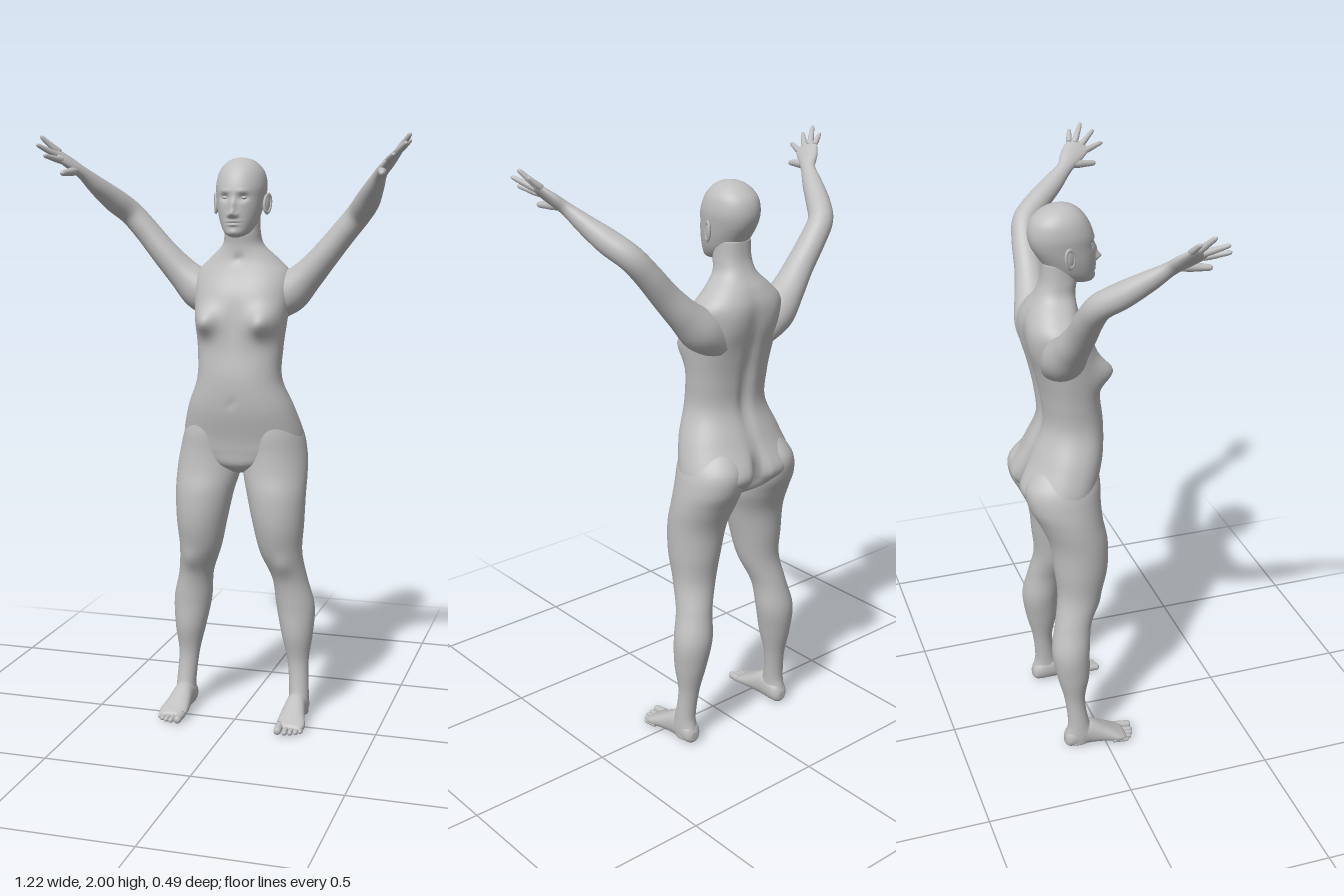
import * as THREE from 'three';

const skin = new THREE.MeshStandardMaterial({ color: 0xbfbfbf });
skin.name = 'plain grey';

const Y = new THREE.Vector3(0, 1, 0), Z = new THREE.Vector3(0, 0, 1);

// Smooth interpolation through rows of numbers
function sampleRows(rows, t) {
  const f = t * (rows.length - 1), i = Math.min(Math.floor(f), rows.length - 2), k = f - i;
  const at = (n) => rows[Math.max(0, Math.min(rows.length - 1, n))];
  const [a, b, c, d] = [at(i - 1), at(i), at(i + 1), at(i + 2)];
  return b.map((_, n) => b[n] + 0.5 * k * (c[n] - a[n]
    + k * (2 * a[n] - 5 * b[n] + 4 * c[n] - d[n] + k * (3 * (b[n] - c[n]) + d[n] - a[n]))));
}

// Skin over cross-sections [x, y, z, halfWidth, halfDepth]; axis fixes the section plane,
// ref is the depth direction, power < 1 squares the section, bumps model the relief
function loft(rows, { axis, ref = Z, steps = 40, seg = 40, power = 1, bumps = [] } = {}) {
  const pos = [], idx = [], V3 = (r) => new THREE.Vector3(r[0], r[1], r[2]);
  const pw = (v) => Math.sign(v) * Math.abs(v) ** power;
  for (let i = 0; i <= steps; i++) {
    const t = i / steps, r = sampleRows(rows, t), c = V3(r);
    const tan = axis || V3(sampleRows(rows, Math.min(1, t + 0.01)))
      .sub(V3(sampleRows(rows, Math.max(0, t - 0.01)))).normalize();
    const u = tan.clone().cross(ref).normalize(), v = u.clone().cross(tan);
    for (let j = 0; j < seg; j++) {
      const a = (j / seg) * Math.PI * 2, s = Math.sin(a);
      const p = c.clone().addScaledVector(u, r[3] * pw(Math.cos(a))).addScaledVector(v, r[4] * pw(s));
      const { x, y } = p;
      for (const [bx, by, sx, sy, side, push] of bumps) {
        const facing = Math.min(1, Math.max(0, s * side * 2));
        p.z += push * facing * Math.exp(-(((x - bx) / sx) ** 2) - ((y - by) / sy) ** 2);
      }
      pos.push(p.x, p.y, p.z);
    }
  }
  const end = (steps + 1) * seg;
  pos.push(...rows[0].slice(0, 3), ...rows[rows.length - 1].slice(0, 3));
  for (let j = 0; j < seg; j++) {
    const n = (j + 1) % seg;
    for (let i = 0; i < steps; i++) {
      const a = i * seg + j, b = i * seg + n;
      idx.push(a, a + seg, b, b, a + seg, b + seg);
    }
    idx.push(end, j, n, end + 1, steps * seg + n, steps * seg + j);
  }
  const g = new THREE.BufferGeometry();
  g.setAttribute('position', new THREE.Float32BufferAttribute(pos, 3));
  g.setIndex(idx);
  g.computeVertexNormals();
  return g;
}

// Upright section rows: [x, y, halfWidth, zFront, zBack]
const upright = (rows) => rows.map(([x, y, w, f, b]) => [x, y, (f + b) / 2, w, (f - b) / 2]);
const both = (x, ...rest) => [[x, ...rest], [-x, ...rest]];

// Rounded tapering finger or toe
function digit(a, b, r0, r1, ref = Z) {
  const stops = [[0, r0], [0.3, r0], [0.6, r0 * 0.45 + r1 * 0.55], [0.85, r1], [0.96, r1 * 0.7], [1, r1 * 0.1]];
  const rows = stops.map(([t, r]) => [...a.map((v, n) => v + (b[n] - v) * t), r, r]);
  return loft(rows, { ref, steps: 15, seg: 12 });
}

function ellipsoid(x, y, z, rx, ry, rz) {
  return new THREE.SphereGeometry(1, 24, 16).scale(rx, ry, rz).translate(x, y, z);
}

function mirrored(geo) {
  const g = geo.clone().scale(-1, 1, 1), ix = g.index;
  for (let i = 0; i < ix.count; i += 3) {
    const a = ix.getX(i);
    ix.setX(i, ix.getX(i + 1));
    ix.setX(i + 1, a);
  }
  g.computeVertexNormals();
  return g;
}

export function createModel() {
  const model = new THREE.Group();
  model.name = 'standingFigure';
  const add = (name, geo) => {
    const m = new THREE.Mesh(geo, skin);
    m.name = name;
    model.add(m);
  };
  const addPair = (name, geo) => {
    add(name + 'Left', geo);
    add(name + 'Right', mirrored(geo));
  };

  // Torso and neck
  add('torso', loft(upright([
    [0, 0.875, 0.03, -0.04, -0.12], [0, 0.905, 0.11, 0.0, -0.17], [0, 0.95, 0.195, 0.01, -0.22],
    [0, 1.0, 0.209, 0.018, -0.243], [0, 1.1, 0.183, 0.04, -0.2], [0, 1.2, 0.145, 0.045, -0.162],
    [0, 1.3, 0.146, 0.033, -0.168], [0, 1.4, 0.157, 0.028, -0.188], [0, 1.48, 0.165, 0.012, -0.205],
    [0, 1.55, 0.16, -0.02, -0.21], [0, 1.6, 0.115, -0.037, -0.195], [0, 1.645, 0.07, -0.04, -0.168],
    [0, 1.69, 0.06, -0.035, -0.15], [0, 1.75, 0.058, -0.04, -0.145],
  ]), {
    axis: Y, steps: 90, seg: 80, power: 0.88,
    bumps: [
      ...both(0.1, 1.395, 0.042, 0.045, 1, 0.05),
      ...both(0.085, 1.5, 0.05, 0.07, -1, -0.008),
      ...both(0.1, 0.99, 0.06, 0.06, -1, -0.01),
      [0, 1.3, 0.022, 0.2, -1, 0.016], [0, 0.97, 0.02, 0.07, -1, 0.06],
      [0, 1.125, 0.009, 0.01, 1, -0.008], [0, 1.4, 0.02, 0.08, 1, -0.006],
      [0, 1.6, 0.014, 0.015, 1, -0.008],
    ],
  }));

  // Head with brow, sockets, nose, lips and chin
  add('head', loft(upright([
    [0, 1.673, 0.012, 0.01, -0.02], [0, 1.685, 0.038, 0.024, -0.07], [0, 1.715, 0.058, 0.026, -0.12],
    [0, 1.755, 0.071, 0.026, -0.15], [0, 1.8, 0.079, 0.024, -0.178], [0, 1.84, 0.083, 0.019, -0.187],
    [0, 1.88, 0.076, 0.002, -0.178], [0, 1.908, 0.058, -0.02, -0.152], [0, 1.925, 0.034, -0.046, -0.12],
    [0, 1.932, 0.002, -0.078, -0.082],
  ]), {
    axis: Y, steps: 110, seg: 110, power: 0.95,
    bumps: [
      [0, 1.75, 0.01, 0.013, 1, 0.022], [0, 1.775, 0.009, 0.022, 1, 0.011],
      ...both(0.013, 1.746, 0.007, 0.008, 1, 0.007),
      ...both(0.031, 1.802, 0.016, 0.012, 1, -0.011), ...both(0.03, 1.823, 0.02, 0.008, 1, 0.003),
      [0, 1.726, 0.02, 0.005, 1, 0.006], [0, 1.715, 0.018, 0.005, 1, 0.006],
      [0, 1.7205, 0.024, 0.002, 1, -0.004], [0, 1.69, 0.016, 0.01, 1, 0.004],
    ],
  }));
  addPair('eye', ellipsoid(0.031, 1.802, 0.0, 0.012, 0.007, 0.012));
  addPair('ear', ellipsoid(0, 0, 0, 0.007, 0.032, 0.018).rotateX(-0.15).rotateY(-0.4).translate(0.086, 1.782, -0.078));
  addPair('earRim', new THREE.TorusGeometry(0.017, 0.0045, 8, 24).scale(1, 1.7, 1)
    .rotateY(Math.PI / 2).rotateX(-0.15).rotateY(-0.4).translate(0.09, 1.782, -0.079));

  // Arm down to the palm
  addPair('arm', loft([
    [0.09, 1.43, -0.12, 0.05, 0.06], [0.155, 1.485, -0.122, 0.068, 0.07], [0.22, 1.546, -0.116, 0.054, 0.058],
    [0.28, 1.612, -0.106, 0.046, 0.049], [0.345, 1.69, -0.1, 0.042, 0.045], [0.395, 1.748, -0.085, 0.041, 0.042],
    [0.435, 1.793, -0.03, 0.04, 0.04], [0.47, 1.84, 0.035, 0.03, 0.034], [0.498, 1.88, 0.085, 0.02, 0.026],
    [0.525, 1.908, 0.115, 0.017, 0.036], [0.552, 1.935, 0.15, 0.012, 0.04], [0.56, 1.943, 0.16, 0.006, 0.034],
  ], { steps: 80, seg: 36 }));

  // Fingers and thumb: knuckle, tip, radii
  [
    ['littleFinger', [0.562, 1.948, 0.122], [0.6, 1.982, 0.135], 0.0095],
    ['ringFinger', [0.558, 1.944, 0.14], [0.606, 2.0, 0.178], 0.0105],
    ['middleFinger', [0.55, 1.934, 0.157], [0.602, 1.972, 0.222], 0.0105],
    ['indexFinger', [0.538, 1.92, 0.168], [0.567, 1.937, 0.243], 0.0105],
    ['thumb', [0.508, 1.888, 0.115], [0.524, 1.88, 0.205], 0.014],
  ].forEach(([name, a, b, r]) => addPair(name, digit(a, b, r, r * 0.7, Y)));

  // Leg from ankle to hip
  addPair('leg', loft(upright([
    [0.208, 0.015, 0.032, -0.05, -0.14], [0.208, 0.05, 0.035, -0.035, -0.142], [0.207, 0.1, 0.034, -0.057, -0.132],
    [0.2, 0.2, 0.037, -0.07, -0.142], [0.195, 0.3, 0.055, -0.053, -0.166], [0.187, 0.4, 0.067, -0.05, -0.18],
    [0.17, 0.5, 0.061, -0.037, -0.163], [0.145, 0.6, 0.073, 0.003, -0.146], [0.137, 0.7, 0.088, 0.028, -0.155],
    [0.128, 0.8, 0.101, 0.03, -0.167], [0.118, 0.88, 0.111, 0.016, -0.2], [0.114, 0.95, 0.107, 0.01, -0.234],
    [0.108, 1.02, 0.095, 0.01, -0.237], [0.1, 1.09, 0.06, 0.0, -0.18],
  ]), { axis: Y, steps: 90, seg: 44, bumps: [[0.165, 0.56, 0.03, 0.035, 1, 0.008]] }));

  // Foot and toes
  addPair('foot', loft([
    [0.206, 0.03, -0.145, 0.014, 0.016], [0.206, 0.036, -0.132, 0.029, 0.034], [0.206, 0.046, -0.1, 0.036, 0.046],
    [0.206, 0.047, -0.05, 0.036, 0.047], [0.208, 0.034, 0.0, 0.043, 0.033], [0.212, 0.023, 0.04, 0.049, 0.021],
    [0.212, 0.017, 0.066, 0.044, 0.013], [0.212, 0.014, 0.074, 0.036, 0.006],
  ], { axis: Z, ref: Y, steps: 40, seg: 36, power: 0.9 }));
  [[0.18, 0.11, 0.0135], [0.204, 0.108, 0.0095], [0.222, 0.103, 0.009], [0.239, 0.093, 0.0085], [0.253, 0.078, 0.008]]
    .forEach(([x, tip, r], i) => addPair('toe' + (i + 1),
      digit([x - 0.003, r + 0.006, tip - 0.055], [x, r + 0.001, tip], r, r * 0.95, Y)));

  return model;
}
